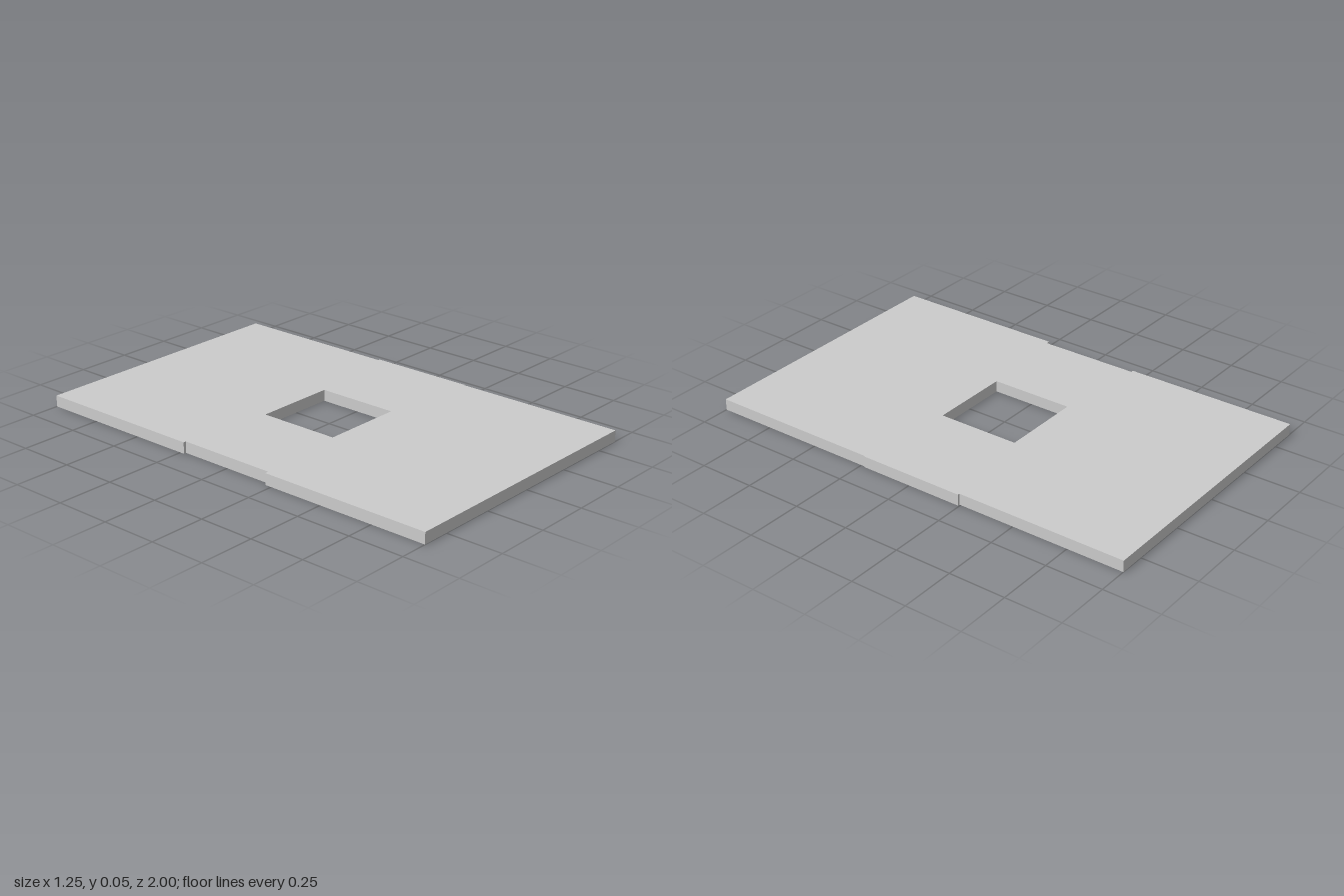
import * as THREE from 'three';

const THICKNESS = 0.05;

export function createModel() {
  const model = new THREE.Group();
  const material = new THREE.MeshStandardMaterial({ color: 0xcccccc, flatShading: true });

  // Outline as [x, z], with small steps along both long edges
  const outline = [
    [-0.624, 1], [0.62, 1], [0.62, 0.23], [0.624, 0.23], [0.624, -0.245], [0.615, -0.245],
    [0.615, -1], [-0.619, -1], [-0.619, -0.23], [-0.607, -0.23], [-0.607, 0.22], [-0.624, 0.22],
  ];
  const toPoints = (list) => list.map(([x, z]) => new THREE.Vector2(x, -z));
  const shape = new THREE.Shape(toPoints(outline));

  // Square opening, slightly off centre
  const opening = [[-0.19, 0.185], [-0.19, -0.185], [0.18, -0.185], [0.18, 0.185]];
  shape.holes.push(new THREE.Path(toPoints(opening)));

  // Extrude upward from the ground
  const geometry = new THREE.ExtrudeGeometry(shape, { depth: THICKNESS, bevelEnabled: false });
  geometry.rotateX(-Math.PI / 2);

  const slab = new THREE.Mesh(geometry, material);
  slab.name = 'floorSlab';
  model.add(slab);
  return model;
}
